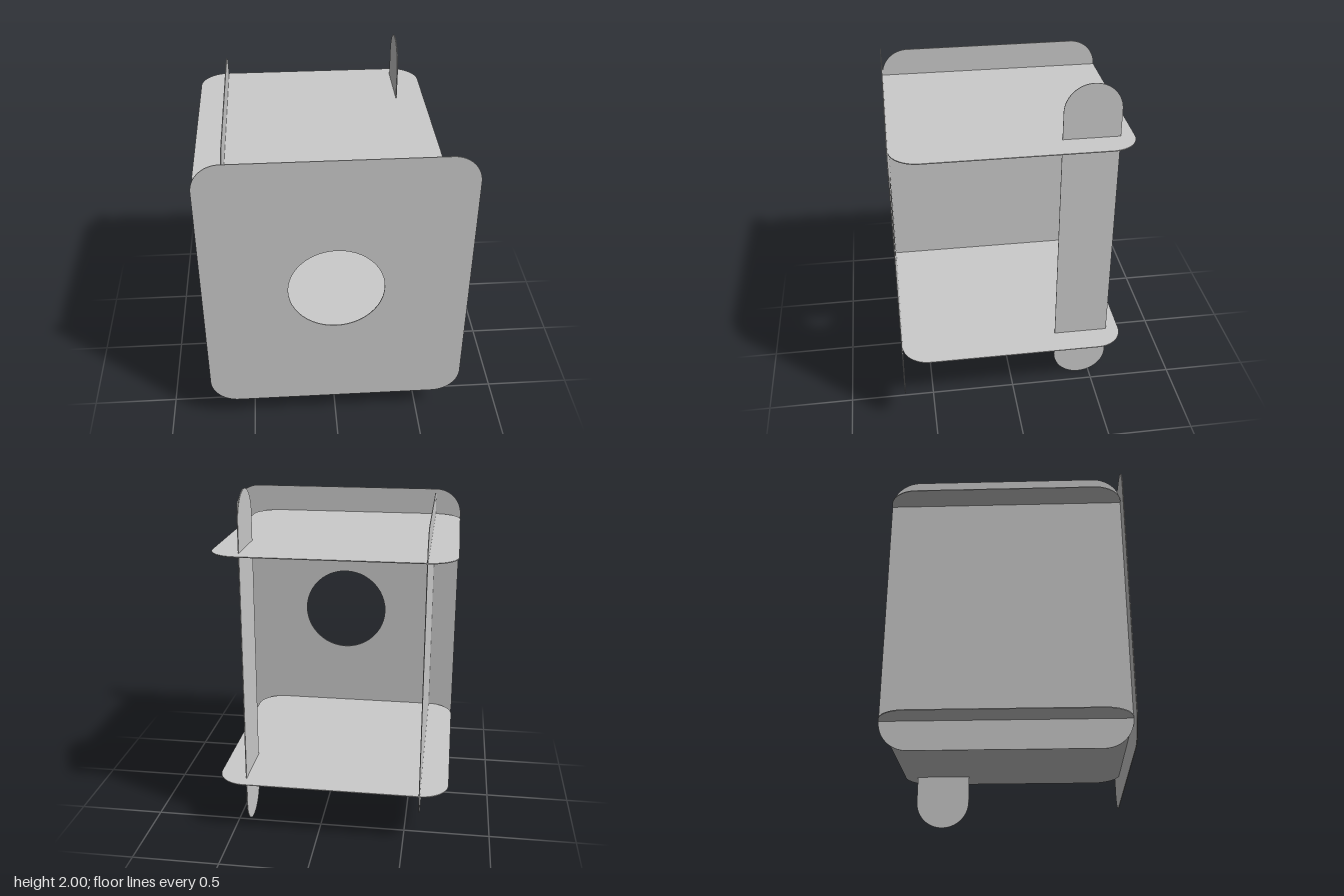
import * as THREE from 'three';

const T = 0.005; // sheet thickness
const material = new THREE.MeshStandardMaterial({ color: 0xcccccc, side: THREE.DoubleSide });

// Thin rounded sheet, centred on the origin in the XY plane, with an optional round hole
function sheet(name, w, h, r, hole = 0) {
  const x = w / 2, y = h / 2;
  const s = new THREE.Shape();
  s.absarc(x - r, y - r, r, 0, Math.PI / 2);
  s.absarc(r - x, y - r, r, Math.PI / 2, Math.PI);
  s.absarc(r - x, r - y, r, Math.PI, Math.PI * 1.5);
  s.absarc(x - r, r - y, r, Math.PI * 1.5, Math.PI * 2);
  s.closePath();
  if (hole) s.holes.push(new THREE.Path().absarc(0, 0, hole, 0, Math.PI * 2, true));
  const geo = new THREE.ExtrudeGeometry(s, { depth: T, bevelEnabled: false, curveSegments: 24 });
  geo.translate(0, 0, -T / 2);
  const mesh = new THREE.Mesh(geo, material);
  mesh.name = name;
  return mesh;
}

export function createModel() {
  const group = new THREE.Group();
  group.name = 'slottedPanelBox';

  // Front panel with round opening
  const front = sheet('frontPanel', 1.5, 1.68, 0.16, 0.27);
  front.position.set(0, 1, 0.672);
  group.add(front);

  // Solid side panel
  const side = sheet('sidePanel', 1.345, 1.68, 0.16);
  side.rotation.y = Math.PI / 2;
  side.position.set(-0.588, 1, -0.002);
  group.add(side);

  // Top and bottom shelves
  for (const [name, y] of [['topShelf', 1.676], ['bottomShelf', 0.326]]) {
    const shelf = sheet(name, 1.34, 1.345, 0.16);
    shelf.rotation.x = -Math.PI / 2;
    shelf.position.set(-0.08, y, -0.002);
    group.add(shelf);
  }

  // Round-ended upright through both shelves
  const post = sheet('uprightStrip', 0.324, 2, 0.1619);
  post.rotation.y = Math.PI / 2;
  post.position.set(0.426, 1, -0.435);
  group.add(post);

  return group;
}
